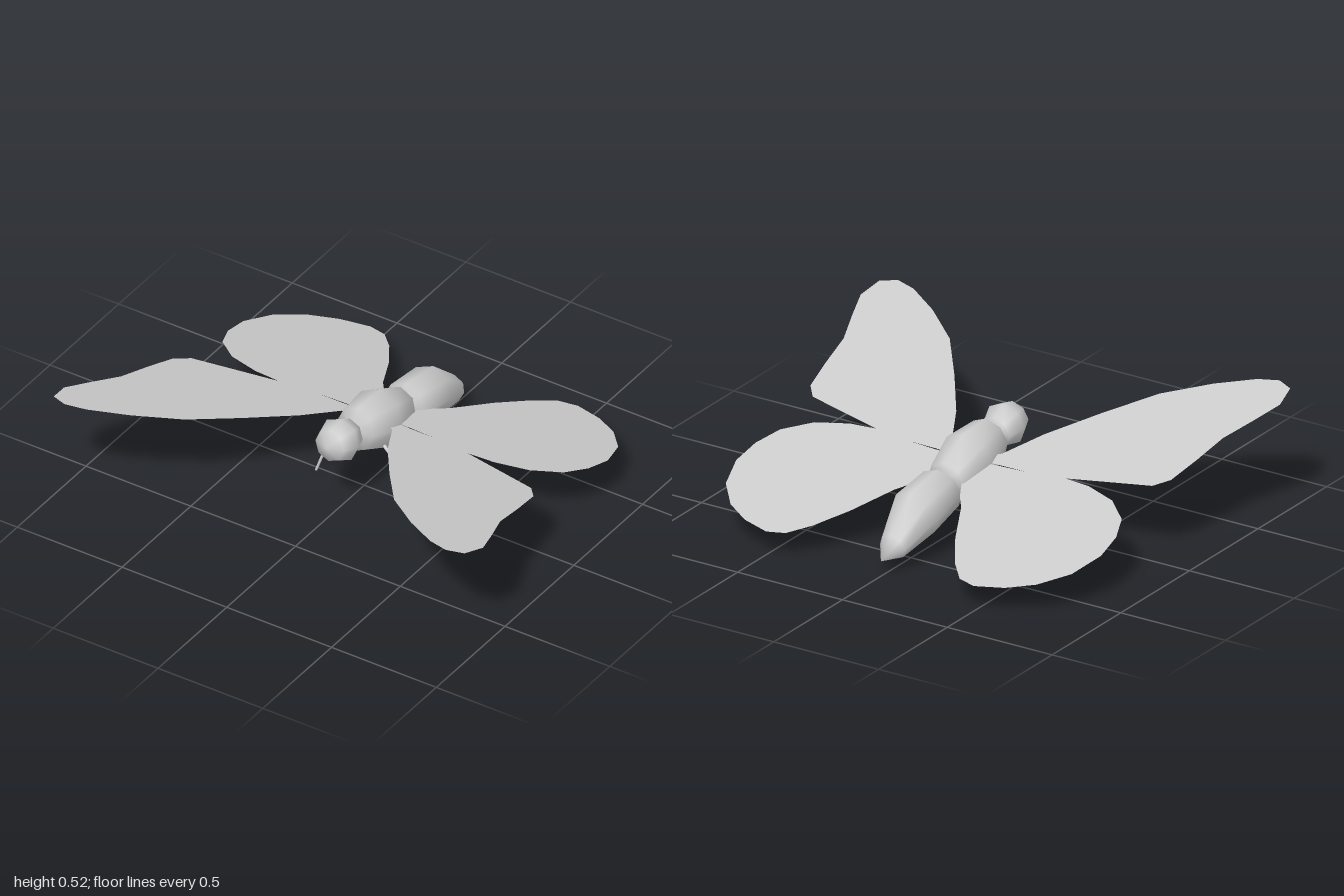
import * as THREE from 'three';
import { mergeVertices } from 'three/addons/utils/BufferGeometryUtils.js';

const grey = new THREE.MeshStandardMaterial({ color: 0xcccccc });
const thin = new THREE.MeshStandardMaterial({ color: 0xcccccc, side: THREE.DoubleSide });

// Eight-sided body segment: rings [z, y, radius] from back to front, leaning by tilt
function bodySegment(name, rings, tilt, widthScale = 1) {
  let g = new THREE.LatheGeometry(rings.map((r, j) => new THREE.Vector2(r[2], j)), 8);
  const p = g.attributes.position;
  for (let i = 0; i < p.count; i++) {
    const [z, y] = rings[Math.round(p.getY(i))];
    const up = -p.getZ(i);
    p.setXYZ(i, p.getX(i) * widthScale, y + up * Math.cos(tilt), z - up * Math.sin(tilt));
  }
  g.deleteAttribute('uv');
  g.deleteAttribute('normal');
  g = mergeVertices(g, 1e-5);
  g.computeVertexNormals();
  const mesh = new THREE.Mesh(g, grey);
  mesh.name = name;
  return mesh;
}

// Rings of a stretched ball, its axis raised by tilt at the front
function ballRings(z, y, radius, half, tilt, shoulder) {
  return [[-half, 0], [-half * shoulder, radius * 0.73], [0, radius], [half * shoulder, radius * 0.73], [half, 0]]
    .map(([t, r]) => [z + t * Math.cos(tilt), y + t * Math.sin(tilt), r]);
}

// Flat wing from an outline of [x, z], lying in a plane that rises to the front
function wing(name, outline, side) {
  const shape = new THREE.Shape(outline.map(([x, z]) => new THREE.Vector2(x * side, -z)));
  const g = new THREE.ShapeGeometry(shape).rotateX(-Math.PI / 2);
  const p = g.attributes.position;
  for (let i = 0; i < p.count; i++) p.setY(i, 0.312 + 0.258 * p.getZ(i));
  g.computeVertexNormals();
  const mesh = new THREE.Mesh(g, thin);
  mesh.name = name;
  return mesh;
}

// Thin rod between two points
function rod(name, a, b, ra, rb) {
  const from = new THREE.Vector3(...a), to = new THREE.Vector3(...b);
  const dir = to.clone().sub(from);
  const mesh = new THREE.Mesh(new THREE.CylinderGeometry(rb, ra, dir.length(), 6), grey);
  mesh.position.copy(from).add(to).multiplyScalar(0.5);
  mesh.quaternion.setFromUnitVectors(new THREE.Vector3(0, 1, 0), dir.normalize());
  mesh.name = name;
  return mesh;
}

const foreOutline = [
  [0.02, -0.09], [0.37, -0.085], [0.81, 0.02], [0.86, 0.08], [0.885, 0.23], [0.905, 0.39],
  [0.96, 0.54], [1.0, 0.66], [0.98, 0.765], [0.91, 0.795], [0.82, 0.77], [0.67, 0.68],
  [0.5, 0.545], [0.35, 0.35], [0.21, 0.15], [0.12, -0.02],
];
const hindOutline = [
  [0.02, -0.1], [0.06, -0.22], [0.115, -0.32], [0.16, -0.38], [0.25, -0.56], [0.34, -0.7],
  [0.415, -0.78], [0.495, -0.8], [0.62, -0.765], [0.73, -0.7], [0.825, -0.59], [0.87, -0.445],
  [0.86, -0.32], [0.815, -0.21], [0.71, -0.12], [0.57, -0.075], [0.45, -0.065], [0.3, -0.085],
];

// Legs: z of hip, knee and foot
const legs = { frontLeg: [-0.02, 0.0, 0.02], middleLeg: [-0.08, -0.08, -0.08], rearLeg: [-0.155, -0.17, -0.193] };

export function createModel() {
  const model = new THREE.Group();
  model.name = 'wingedInsect';

  // Body
  model.add(bodySegment('head', ballRings(0.183, 0.333, 0.094, 0.097, 0.17, 0.707), 0.17));
  model.add(bodySegment('thorax', ballRings(-0.085, 0.275, 0.13, 0.19, 0.26, 0.84), 0.26, 0.94));
  model.add(bodySegment('abdomen', [
    [-0.72, 0.065, 0], [-0.635, 0.097, 0.058], [-0.47, 0.183, 0.106],
    [-0.28, 0.222, 0.097], [-0.24, 0.235, 0],
  ], 0.31, 1.03));

  for (const side of [1, -1]) {
    const label = side > 0 ? 'left' : 'right';
    // Wings
    model.add(wing(label + 'ForeWing', foreOutline, side));
    model.add(wing(label + 'HindWing', hindOutline, side));
    // Legs
    for (const [name, [hip, knee, foot]] of Object.entries(legs)) {
      const leg = new THREE.Group();
      leg.name = label + name[0].toUpperCase() + name.slice(1);
      leg.add(rod('upperLeg', [0.08 * side, 0.217, hip], [0.167 * side, 0.16, knee], 0.008, 0.007));
      leg.add(rod('lowerLeg', [0.165 * side, 0.165, knee], [0.217 * side, 0.002, foot], 0.007, 0.005));
      model.add(leg);
    }
  }
  return model;
}
